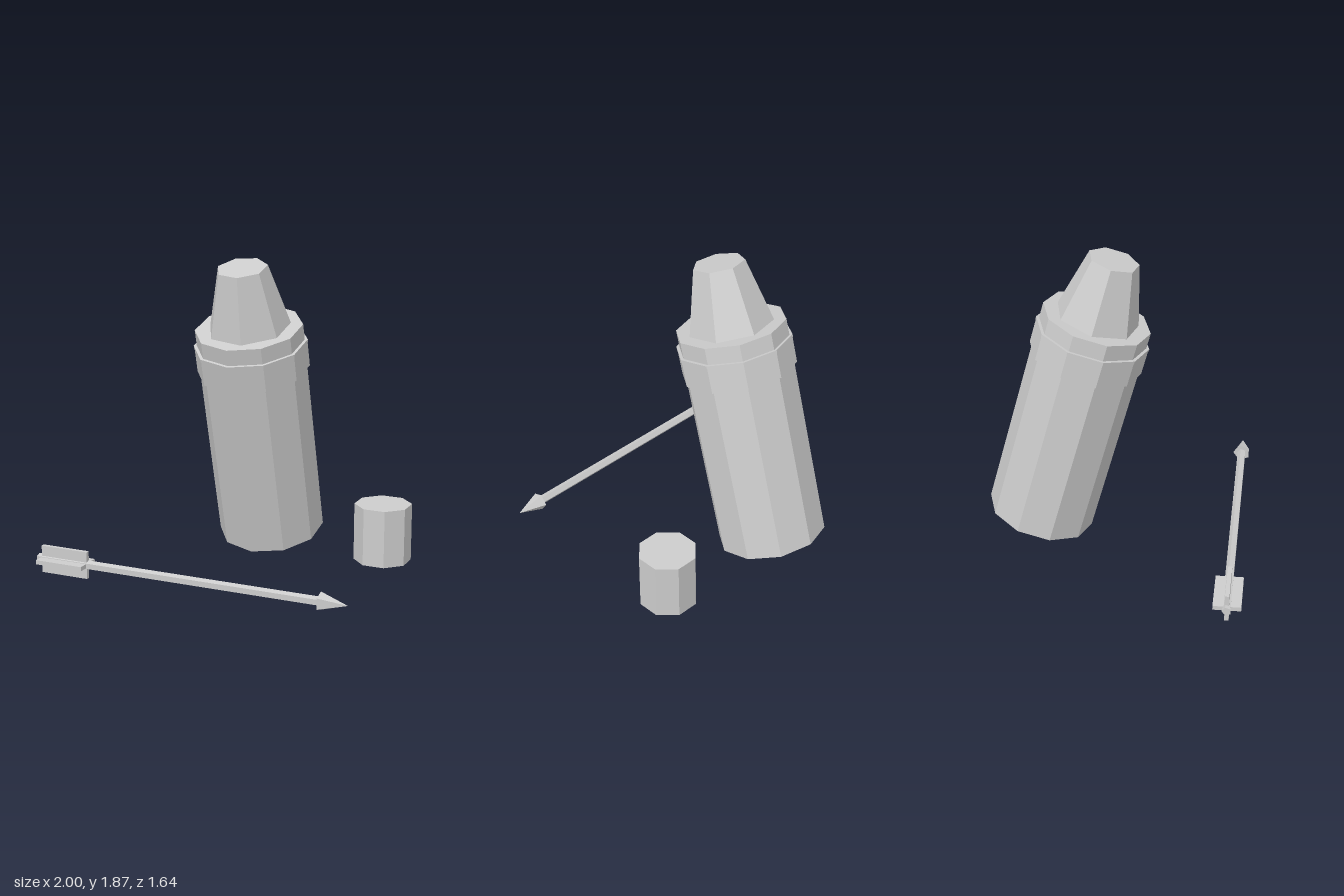
import * as THREE from 'three';

export function createModel() {
  const root = new THREE.Group();
  const grey = new THREE.MeshStandardMaterial({ color: 0xcccccc, flatShading: true });
  grey.name = 'plain grey';

  const add = (parent, name, geometry, x = 0, y = 0, z = 0) => {
    const mesh = new THREE.Mesh(geometry, grey);
    mesh.name = name;
    mesh.position.set(x, y, z);
    parent.add(mesh);
    return mesh;
  };
  // Prism or frustum between two heights, with a chosen first corner angle
  const prism = (parent, name, rTop, rBottom, y0, y1, sides, start = 0) =>
    add(parent, name,
      new THREE.CylinderGeometry(rTop, rBottom, y1 - y0, sides, 1, false, start),
      0, (y0 + y1) / 2, 0);

  // Leaning ten-sided case, resting on its front bottom corner
  const leaningCase = new THREE.Group();
  leaningCase.name = 'leaningCase';
  leaningCase.position.set(0, 0.091, -0.5);
  leaningCase.rotation.x = Math.PI / 12;
  root.add(leaningCase);
  prism(leaningCase, 'caseBody', 0.333, 0.333, 0, 1.408, 10);
  prism(leaningCase, 'caseBand', 0.349, 0.349, 1.13, 1.288, 10);
  prism(leaningCase, 'caseBandLip', 0.352, 0.352, 1.288, 1.306, 10);
  prism(leaningCase, 'taperedTop', 0.157, 0.26, 1.4, 1.8, 7, -Math.PI / 2);

  // Small eight-sided pot
  const pot = new THREE.Group();
  pot.name = 'pot';
  pot.position.set(0.795, 0, -0.4);
  root.add(pot);
  prism(pot, 'potBody', 0.178, 0.178, 0, 0.36, 8, Math.PI / 8);

  // Arrow pointing along +x, modelled upright then laid down
  const arrow = new THREE.Group();
  arrow.name = 'arrow';
  arrow.position.set(0, 0.105, 0.731);
  arrow.rotation.z = -Math.PI / 2;
  root.add(arrow);
  prism(arrow, 'arrowShaft', 0.028, 0.028, -1, 0.83, 5, Math.PI);
  add(arrow, 'arrowHead',
    new THREE.ConeGeometry(0.057, 0.17, 5, 1, false, Math.PI), 0, 0.915, 0);
  // Crossed fletching vanes
  for (const turn of [0, Math.PI / 2]) {
    add(arrow, 'arrowFletching',
      new THREE.BoxGeometry(0.167, 0.31, 0.026), 0, -0.815, 0).rotation.y = turn;
  }
  return root;
}
